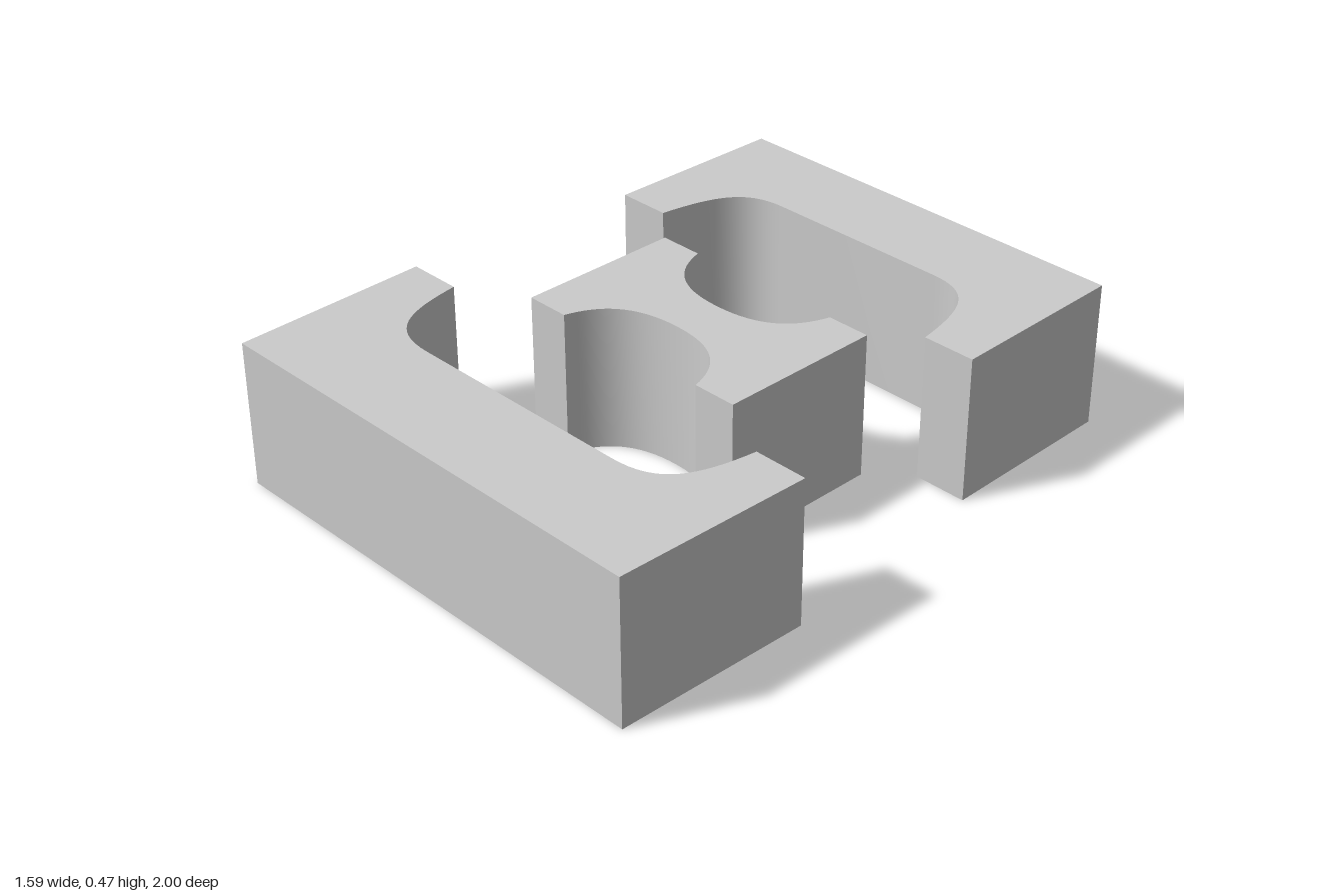
import * as THREE from 'three';
import { toCreasedNormals } from 'three/addons/utils/BufferGeometryUtils.js';

const HEIGHT = 0.47;
const material = new THREE.MeshStandardMaterial({ color: 0xcccccc });

// Extrudes a plan drawn in (x, z) upward from the ground
function block(name, plan) {
  const extruded = new THREE.ExtrudeGeometry(plan, { depth: HEIGHT, bevelEnabled: false, curveSegments: 16 });
  extruded.rotateX(Math.PI / 2).translate(0, HEIGHT, 0);
  const mesh = new THREE.Mesh(toCreasedNormals(extruded, 0.5), material);
  mesh.name = name;
  return mesh;
}

// U-shaped plan: slightly tapered outer sides, rounded recess facing the centre
function yokePlan({ backX, backZ, tipX, tipZ, mouthX, floorX, floorZ, c1, c2 }) {
  const s = new THREE.Shape();
  s.moveTo(-backX, backZ);
  s.lineTo(backX, backZ);
  s.lineTo(tipX, tipZ);
  s.lineTo(mouthX, tipZ);
  s.bezierCurveTo(c1[0], c1[1], c2[0], c2[1], floorX, floorZ);
  s.lineTo(-floorX, floorZ);
  s.bezierCurveTo(-c2[0], c2[1], -c1[0], c1[1], -mouthX, tipZ);
  s.lineTo(-tipX, tipZ);
  s.closePath();
  return s;
}

// H-shaped plan: a waisted block with a curved recess front and back
function corePlan() {
  const x = 0.413, mouth = 0.27, mid = -0.023, end = 0.268, waist = 0.082;
  const s = new THREE.Shape();
  s.moveTo(x, mid - end);
  for (const d of [1, -1]) {
    const z = mid + d * end, w = mid + d * waist, c = mid + d * 0.157;
    s.lineTo(d * x, z);
    s.lineTo(d * mouth, z);
    s.bezierCurveTo(d * 0.24, c, d * 0.17, w, 0, w);
    s.bezierCurveTo(-d * 0.17, w, -d * 0.24, c, -d * mouth, z);
    s.lineTo(-d * x, z);
  }
  return s;
}

export function createModel() {
  const group = new THREE.Group();
  group.name = 'slottedBlocks';
  group.add(
    block('frontYoke', yokePlan({
      backX: 0.78, backZ: 1, tipX: 0.795, tipZ: 0.365, mouthX: 0.62,
      floorX: 0.38, floorZ: 0.657, c1: [0.595, 0.56], c2: [0.55, 0.657],
    })),
    block('centreCore', corePlan()),
    block('rearYoke', yokePlan({
      backX: 0.697, backZ: -1, tipX: 0.708, tipZ: -0.4, mouthX: 0.535,
      floorX: 0.31, floorZ: -0.695, c1: [0.505, -0.6], c2: [0.46, -0.695],
    })),
  );
  return group;
}
